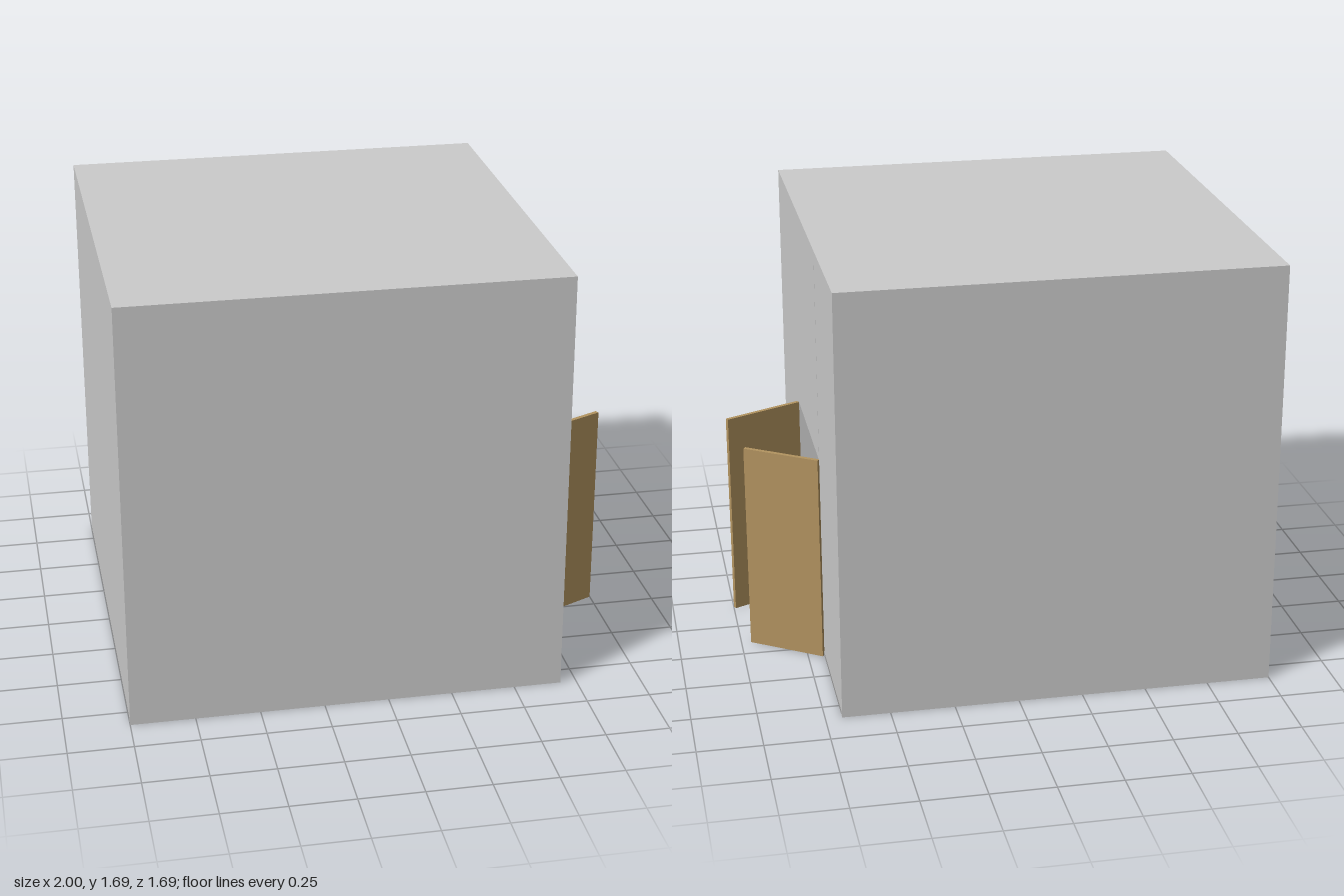
import * as THREE from 'three';

export function createModel() {
  const model = new THREE.Group();
  const wallMat = new THREE.MeshStandardMaterial({ color: 0xcccccc });
  wallMat.name = 'wall grey';
  const floorMat = new THREE.MeshStandardMaterial({ color: 0x9e9e9e });
  floorMat.name = 'floor grey';
  const woodMat = new THREE.MeshStandardMaterial({ color: 0xb39460 });
  woodMat.name = 'door wood';

  // Box given by its lower and upper corners
  function slab(name, mat, [x0, y0, z0], [x1, y1, z1]) {
    const mesh = new THREE.Mesh(new THREE.BoxGeometry(x1 - x0, y1 - y0, z1 - z0), mat);
    mesh.position.set((x0 + x1) / 2, (y0 + y1) / 2, (z0 + z1) / 2);
    mesh.name = name;
    model.add(mesh);
  }

  const T = 0.017, X0 = -1, X1 = 0.686, Z = 0.845, H = 1.69;
  const zi = Z - T, top = H - T;
  const doorHalf = 0.33, doorTop = 0.845;

  // Shell of the room
  slab('floor', floorMat, [X0, 0, -zi], [X1, T, zi]);
  slab('roof', wallMat, [X0, top, -Z], [X1, H, Z]);
  slab('frontWall', wallMat, [X0, 0, zi], [X1, top, Z]);
  slab('backWall', wallMat, [X0, 0, -Z], [X1, top, -zi]);
  slab('closedSideWall', wallMat, [X0, T, -zi], [X0 + T, top, zi]);

  // Doorway wall in three panels, with a fine seam beside the upper panel
  slab('doorwayFrontPanel', wallMat, [X1 - T, T, doorHalf], [X1, top, zi]);
  slab('doorwayBackPanel', wallMat, [X1 - T, T, -zi], [X1, top, -doorHalf]);
  slab('doorwayUpperPanel', wallMat, [X1 - T, doorTop, -doorHalf + 0.004], [X1, top, doorHalf]);

  // Open doors, each from its hinge to its free edge
  function door(name, [hx, hz], [fx, fz]) {
    const length = Math.hypot(fx - hx, fz - hz);
    const mesh = new THREE.Mesh(new THREE.BoxGeometry(length, doorTop, T), woodMat);
    mesh.position.set((hx + fx) / 2, doorTop / 2, (hz + fz) / 2);
    mesh.rotation.y = -Math.atan2(fz - hz, fx - hx);
    mesh.name = name;
    model.add(mesh);
  }
  door('frontDoorLeaf', [0.69, 0.322], [0.996, 0.178]);
  door('backDoorLeaf', [0.688, -0.325], [0.957, -0.145]);

  return model;
}
